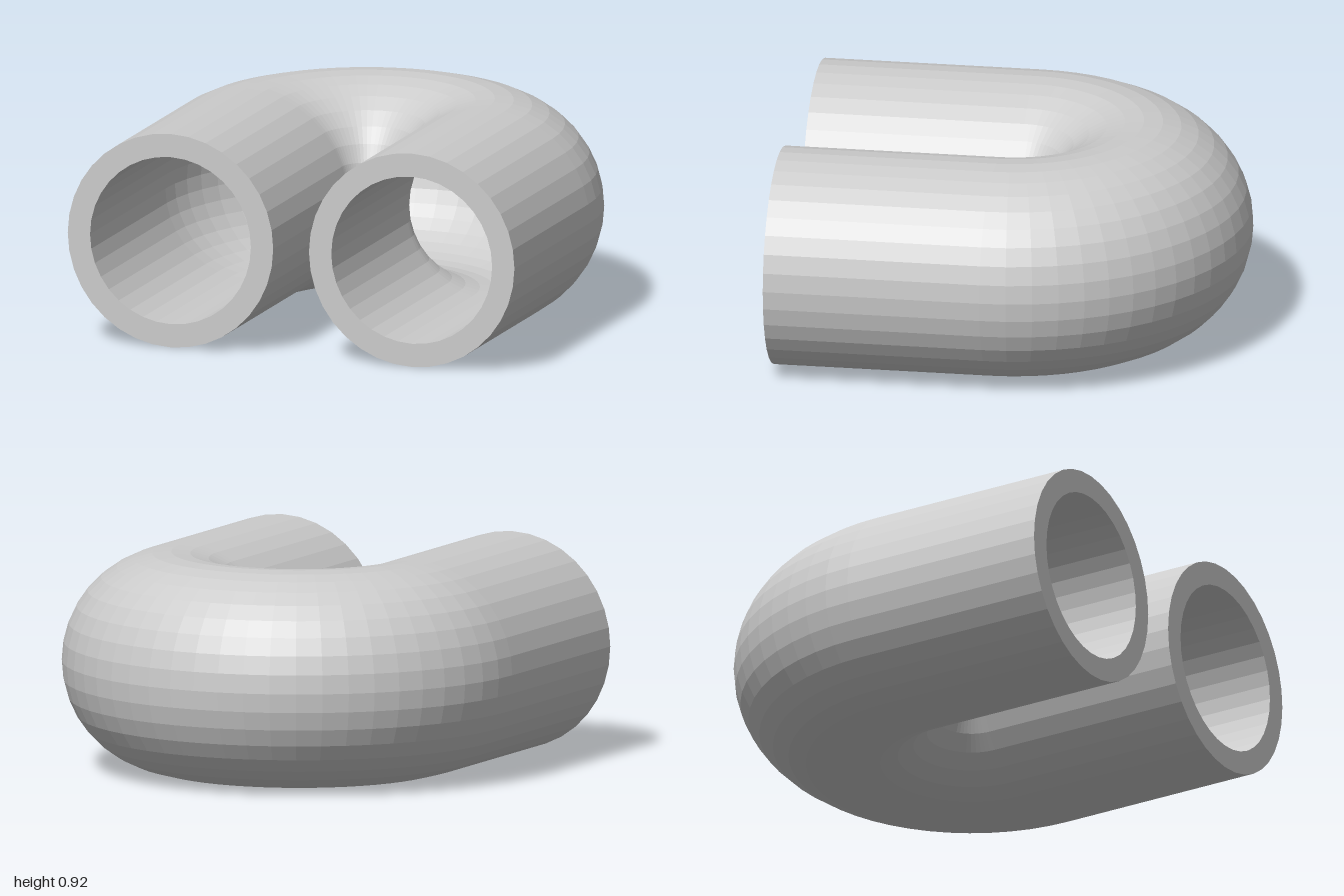
import * as THREE from 'three';

const SIDES = 36, BEND_STEPS = 28;
const BEND_R = 0.54, BEND_Z = 0.04, MID_Y = 0.46, END_Z = 0.96;

// Stations along the U: left end, half-circle bend, right end
function stations() {
  const list = [{ a: 0, z: END_Z }];
  for (let i = 0; i <= BEND_STEPS; i++) list.push({ a: (Math.PI * i) / BEND_STEPS, z: BEND_Z });
  list.push({ a: Math.PI, z: END_Z });
  return list;
}

// Circular wall swept along the stations, facing outward or inward
function wallGeometry(radius, inward) {
  const path = stations(), pos = [], index = [], row = SIDES + 1;
  for (const { a, z } of path) {
    for (let j = 0; j <= SIDES; j++) {
      const t = (2 * Math.PI * j) / SIDES;
      const d = BEND_R + radius * Math.cos(t);
      pos.push(d * Math.cos(a), MID_Y + radius * Math.sin(t), z - d * Math.sin(a));
    }
  }
  for (let i = 0; i < path.length - 1; i++) {
    for (let j = 0; j < SIDES; j++) {
      const a = i * row + j, b = a + row, c = b + 1, d = a + 1;
      if (inward) index.push(a, c, b, a, d, c);
      else index.push(a, b, c, a, c, d);
    }
  }
  const g = new THREE.BufferGeometry();
  g.setAttribute('position', new THREE.Float32BufferAttribute(pos, 3));
  g.setIndex(index);
  g.computeVertexNormals();
  return g;
}

// One hollow layer: outer wall, inner wall and a ring at each mouth
function pipeLayer(name, outer, inner, material) {
  const layer = new THREE.Group();
  layer.name = name;
  const add = (part, geometry) => {
    const mesh = new THREE.Mesh(geometry, material);
    mesh.name = part;
    layer.add(mesh);
    return mesh;
  };
  add('outerWall', wallGeometry(outer, false));
  add('innerWall', wallGeometry(inner, true));
  for (const s of [1, -1]) {
    add(s > 0 ? 'leftEndRing' : 'rightEndRing', new THREE.RingGeometry(inner, outer, SIDES))
      .position.set(s * BEND_R, MID_Y, END_Z);
  }
  return layer;
}

export function createModel() {
  const material = new THREE.MeshStandardMaterial({ color: 0xcccccc, flatShading: true });
  const model = new THREE.Group();
  model.name = 'uBendPipe';
  model.add(pipeLayer('outerPipe', 0.46, 0.41, material));
  model.add(pipeLayer('innerLiner', 0.41, 0.36, material));
  return model;
}
